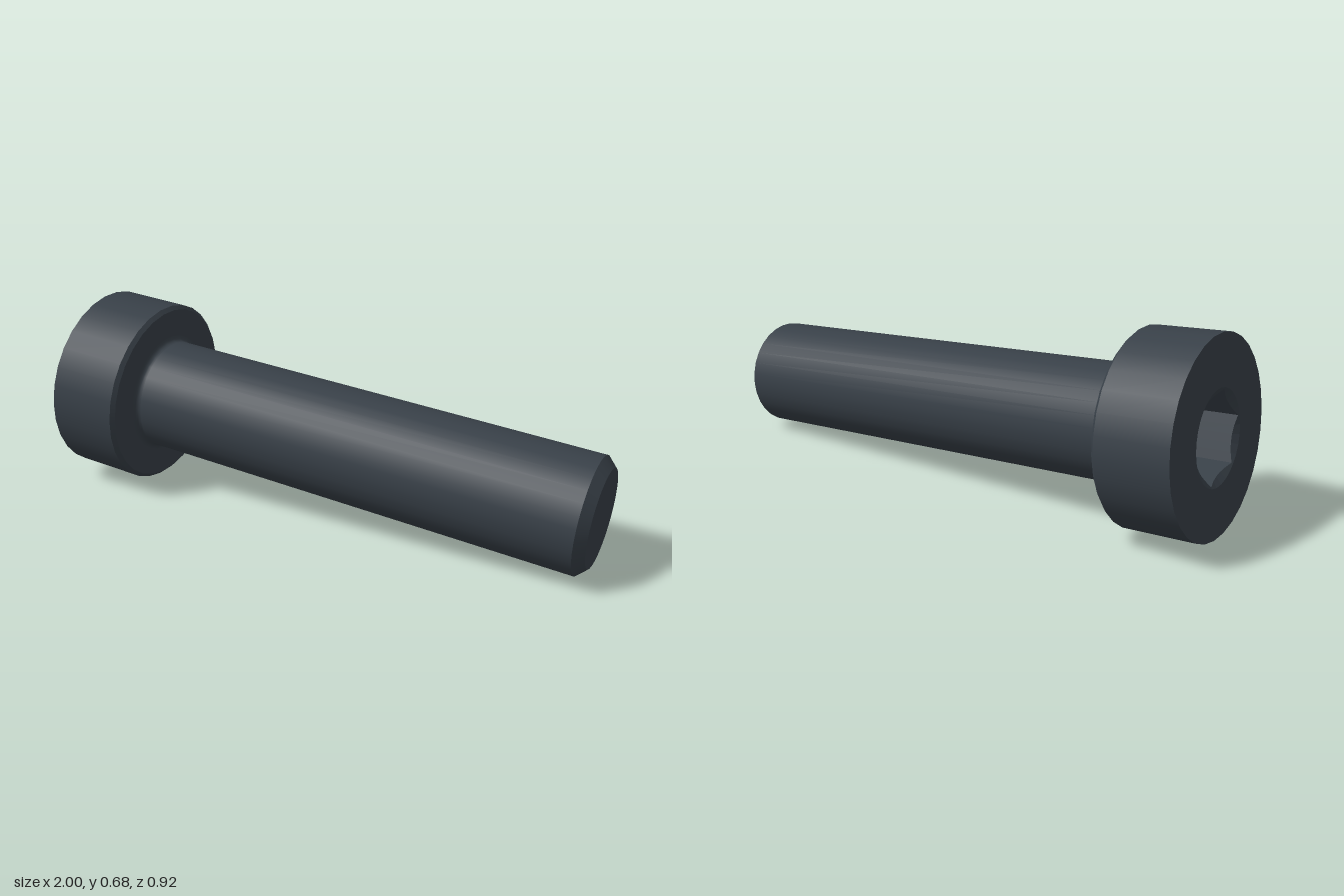
import * as THREE from 'three';

const SEGMENTS = 30;
const HEAD_R = 5, HEAD_H = 4, SHANK_R = 3, LENGTH = 29;
const SOCKET_RIM = 2.4, SOCKET_APOTHEM = 2, SOCKET_DEPTH = 2.3;

const darkSteel = new THREE.MeshStandardMaterial({ color: 0x384048 });
darkSteel.name = 'darkSteel';

// Surface of revolution around local y; each strip keeps its own crisp edges
function turned(name, points) {
  const profile = points.map(([r, y]) => new THREE.Vector2(r, y));
  const mesh = new THREE.Mesh(new THREE.LatheGeometry(profile, SEGMENTS), darkSteel);
  mesh.name = name;
  return mesh;
}

// Quarter-round between head and shank
function filletPoints(radius) {
  const points = [];
  for (let i = 0; i <= 5; i++) {
    const a = (i / 5) * Math.PI / 2;
    points.push([SHANK_R + radius * (1 - Math.sin(a)), HEAD_H + radius * (1 - Math.cos(a))]);
  }
  return points;
}

// Hexagonal recess with a conical lead-in, made by reshaping a turned recess
function hexSocket() {
  const mesh = turned('hexSocket', [
    [0, SOCKET_DEPTH], [SOCKET_APOTHEM, SOCKET_DEPTH], [SOCKET_APOTHEM, 0.2], [SOCKET_RIM, 0],
  ]);
  const pos = mesh.geometry.attributes.position;
  const sixth = Math.PI / 3, step = 2 * Math.PI / SEGMENTS;
  for (let i = 0; i < pos.count; i++) {
    const x = pos.getX(i), y = pos.getY(i), z = pos.getZ(i);
    if (Math.abs(Math.hypot(x, z) - SOCKET_APOTHEM) > 0.01) continue;
    const a = Math.atan2(x, z) + step + 4 * Math.PI;
    const r = SOCKET_APOTHEM / Math.cos((a % sixth) - sixth / 2);
    const k = r / SOCKET_APOTHEM;
    pos.setXYZ(i, x * k, y < 1 ? (SOCKET_RIM - r) * 0.577 : y, z * k);
  }
  mesh.geometry = mesh.geometry.toNonIndexed();
  mesh.geometry.computeVertexNormals();
  return mesh;
}

export function createModel() {
  const model = new THREE.Group();
  model.name = 'socketScrew';
  const screw = new THREE.Group();
  screw.name = 'screw';
  model.add(screw);

  // Head
  const bevel = 0.2, fillet = 0.3;
  screw.add(
    turned('headFace', [[SOCKET_RIM, 0], [HEAD_R, 0]]),
    hexSocket(),
    turned('headSide', [[HEAD_R, 0], [HEAD_R, HEAD_H - bevel]]),
    turned('headBevel', [[HEAD_R, HEAD_H - bevel], [HEAD_R - bevel, HEAD_H]]),
    turned('headUnderside', [[HEAD_R - bevel, HEAD_H], [SHANK_R + fillet, HEAD_H]]),
  );

  // Shank with a chamfered tip
  screw.add(
    turned('shankFillet', filletPoints(fillet)),
    turned('shank', [[SHANK_R, HEAD_H + fillet], [SHANK_R, LENGTH - 0.5]]),
    turned('tipChamfer', [[SHANK_R, LENGTH - 0.5], [SHANK_R - 0.5, LENGTH]]),
    turned('tipFace', [[SHANK_R - 0.5, LENGTH], [0, LENGTH]]),
  );

  // Tilt the screw axis and place it
  const scale = 0.0668;
  const axis = new THREE.Vector3(1, -0.079, 0.212).normalize();
  const across = new THREE.Vector3(-axis.z, 0, axis.x).normalize();
  const down = new THREE.Vector3().crossVectors(axis, across);
  screw.quaternion.setFromRotationMatrix(new THREE.Matrix4().makeBasis(down, axis, across));
  screw.scale.setScalar(scale);
  screw.position.set(0.963, 0.202, 0.268).addScaledVector(axis, -LENGTH * scale);
  return model;
}
